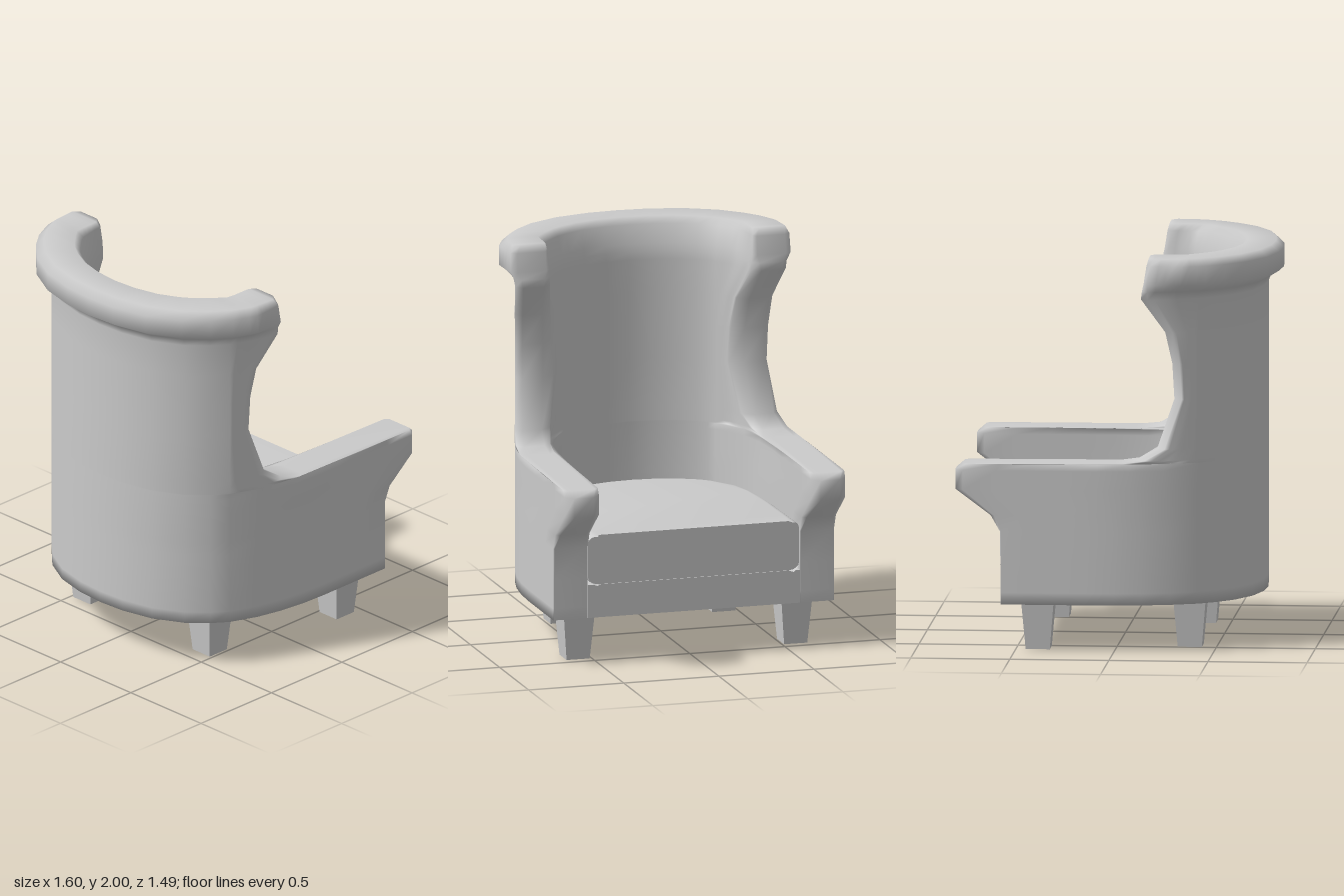
import * as THREE from 'three';
import { toCreasedNormals } from 'three/addons/utils/BufferGeometryUtils.js';

// Half plan of the shell as [x, z], from the middle of the back to the side
const OUTER = [[-0.72, 0], [-0.71, 0.15], [-0.67, 0.32], [-0.59, 0.47], [-0.5, 0.565], [-0.42, 0.625]];
const INNER = [[-0.55, 0], [-0.54, 0.12], [-0.51, 0.24], [-0.465, 0.33], [-0.43, 0.38], [-0.4, 0.41]];
// Where the side walls run on towards the front
const OUTER_SIDE = [[-0.42, 0.625], [-0.32, 0.67], [-0.2, 0.705], [-0.05, 0.73], [0.1, 0.738], [1, 0.738]];
const INNER_SIDE = [[-0.4, 0.41], [-0.32, 0.48], [-0.2, 0.525], [-0.05, 0.55], [0.1, 0.557], [1, 0.557]];
const SIDE_STEPS = 7;

// Height rows: [y, front end x, end chamfer, outward flare outside, outward flare inside]
const ROWS = [
  [0.24, 0.57, 0.004, 0, 0], [0.3, 0.57, 0.004, 0, 0], [0.45, 0.57, 0.004, 0, 0],
  [0.61, 0.572, 0.006, 0, 0], [0.69, 0.62, 0.02, 0, 0], [0.82, 0.8, 0.04, 0, 0],
  [0.92, 0.8, 0.04, 0, 0], [0.953, 0.76, 0.02, 0, 0], [0.957, 0.0, 0.03, 0, 0],
  [0.972, -0.12, 0.035, 0, 0], [1.03, -0.215, 0.04, 0, 0], [1.28, -0.3, 0.04, 0, 0],
  [1.46, -0.29, 0.04, 0, 0], [1.62, -0.255, 0.04, 0, 0], [1.79, -0.135, 0.035, 0, 0],
  [1.83, -0.14, 0.03, 0.015, 0.005], [1.87, -0.15, 0.02, 0.08, 0.01],
  [1.965, -0.165, 0.02, 0.08, 0.035], [2.0, -0.175, 0.03, 0.04, 0.065],
];

function zAt(table, x) {
  let i = 0;
  while (i < table.length - 2 && x > table[i + 1][0]) i++;
  const [a, b] = [table[i], table[i + 1]];
  return a[1] + (b[1] - a[1]) * (x - a[0]) / (b[0] - a[0]);
}

// One side of the plan at a given front end, flared along its normals
function halfLine(back, side, end, chamfer, flare, inward) {
  const pts = back.map(p => [...p]);
  const x0 = back[back.length - 1][0];
  for (let k = 1; k <= SIDE_STEPS; k++) {
    const x = x0 + (end - chamfer - x0) * k / SIDE_STEPS;
    pts.push([x, zAt(side, x)]);
  }
  pts.push([end, zAt(side, end) + (inward ? chamfer : -chamfer)]);
  return pts.map(([x, z], i) => {
    const prev = i ? pts[i - 1] : [pts[1][0], -pts[1][1]];
    const next = pts[Math.min(i + 1, pts.length - 2)];
    const dx = next[0] - prev[0], dz = next[1] - prev[1], len = Math.hypot(dx, dz) || 1;
    const t = Math.max(0, (i - back.length - 2) / (SIDE_STEPS - 2));
    const amount = flare * (1 - 0.85 * Math.min(1, t));
    if (i >= pts.length - 2) return [x, z + amount];
    return [x - dz / len * amount, z + dx / len * amount];
  });
}

const mirrorLine = half => [...half.slice(1).reverse().map(([x, z]) => [x, -z]), ...half];

// Arms, back, wings and top roll as one lofted shell
function shellGeometry() {
  const pos = [], idx = [];
  let n = 0;
  for (const [y, end, chamfer, flareOut, flareIn] of ROWS) {
    const outer = mirrorLine(halfLine(OUTER, OUTER_SIDE, end, chamfer, flareOut, false));
    const inner = mirrorLine(halfLine(INNER, INNER_SIDE, end, chamfer, flareIn, true));
    n = outer.length;
    for (const [x, z] of [...outer, ...inner.reverse()]) pos.push(x, y, z);
  }
  const m = 2 * n;
  const quad = (a, b, c, d) => idx.push(a, b, c, a, c, d);
  for (let r = 0; r < ROWS.length - 1; r++) {
    for (let i = 0; i < m; i++) {
      const j = (i + 1) % m;
      quad(r * m + i, r * m + j, (r + 1) * m + j, (r + 1) * m + i);
    }
  }
  const top = (ROWS.length - 1) * m;
  for (let i = 0; i < n - 1; i++) {
    quad(top + i, top + i + 1, top + m - 2 - i, top + m - 1 - i);
    quad(m - 1 - i, m - 2 - i, i + 1, i);
  }
  const geo = new THREE.BufferGeometry();
  geo.setAttribute('position', new THREE.Float32BufferAttribute(pos, 3));
  geo.setIndex(idx);
  geo.computeVertexNormals();
  return geo;
}

// Slab filling the inside of the shell, standing from y0 to y1
function slabGeometry(inset, front, y0, y1, bevel) {
  const line = mirrorLine(halfLine(INNER, INNER_SIDE, front, 0, -inset, true));
  const shape = new THREE.Shape(line.map(([x, z]) => new THREE.Vector2(x, -z)));
  const geo = new THREE.ExtrudeGeometry(shape, {
    depth: y1 - y0 - 2 * bevel, bevelEnabled: bevel > 0, bevelThickness: bevel,
    bevelSize: bevel, bevelOffset: -bevel, bevelSegments: 4,
  });
  geo.rotateX(-Math.PI / 2);
  geo.translate(0, y0 + bevel, 0);
  return toCreasedNormals(geo, 0.7);
}

export function createModel() {
  const group = new THREE.Group();
  const material = new THREE.MeshStandardMaterial({ color: 0xcccccc });
  const add = (name, geo, mat = material) => {
    const mesh = new THREE.Mesh(geo, mat);
    mesh.name = name;
    group.add(mesh);
    return mesh;
  };

  add('armsAndBack', shellGeometry());
  add('seatBase', slabGeometry(0, 0.57, 0.24, 0.41, 0));
  add('seatCushion', slabGeometry(0.012, 0.565, 0.41, 0.665, 0.04));

  // Tapered square legs, the rear pair closer together
  const legMaterial = new THREE.MeshStandardMaterial({ color: 0xcccccc, flatShading: true });
  const legGeo = new THREE.CylinderGeometry(0.116, 0.086, 0.245, 4);
  legGeo.rotateY(Math.PI / 4);
  for (const side of [1, -1]) {
    for (const [name, x, z] of [['frontLeg', 0.39, 0.572], ['rearLeg', -0.365, 0.425]]) {
      add((side > 0 ? 'left ' : 'right ') + name, legGeo, legMaterial).position.set(x, 0.1225, side * z);
    }
  }
  return group;
}
